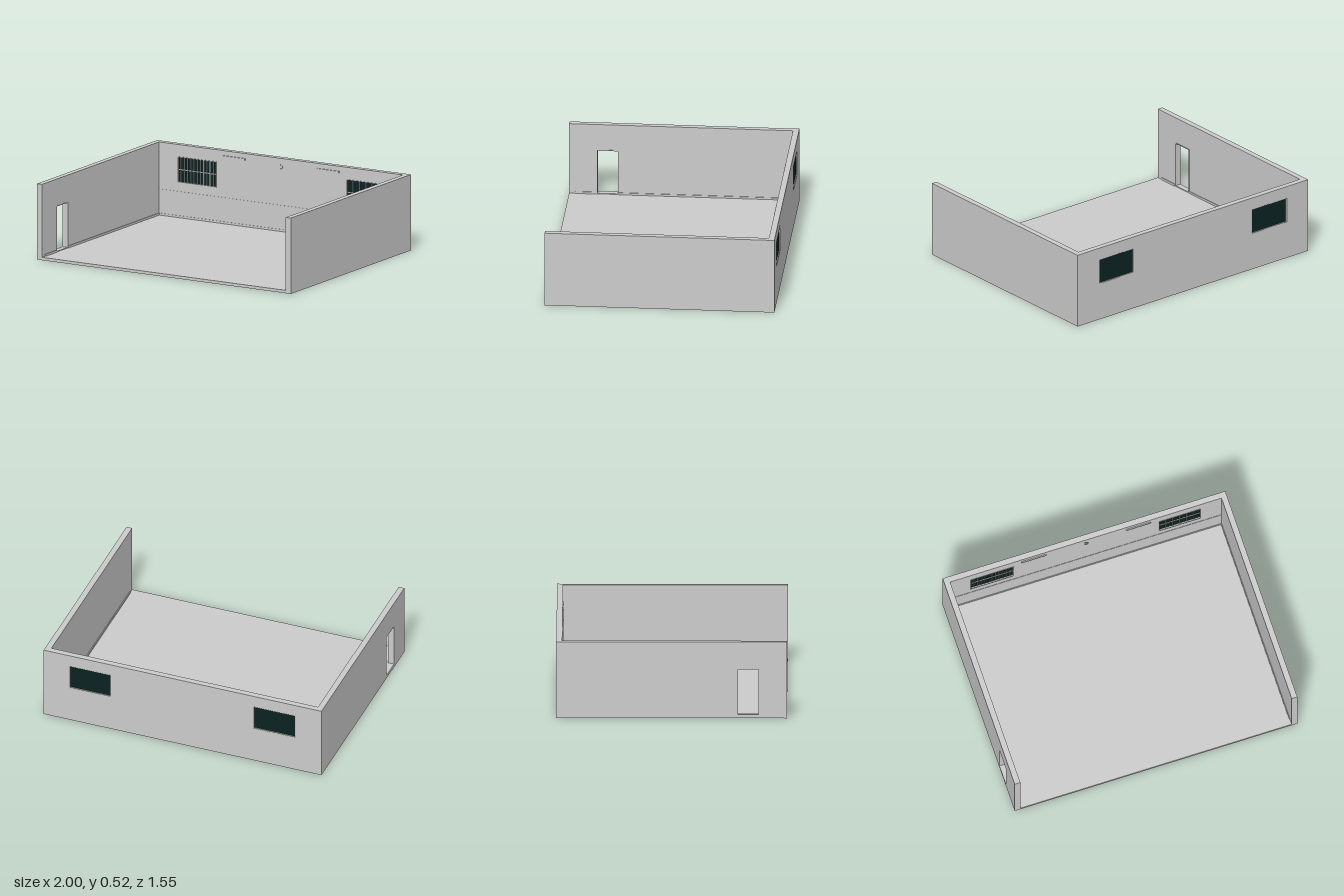
import * as THREE from 'three';

const W = 1, D = 0.775, H = 0.523, T = 0.04, FLOOR = 0.02;
const INNER = -D + T; // inside face of the back wall

export function createModel() {
  const model = new THREE.Group();
  model.name = 'room';
  const mat = (name, color) => {
    const m = new THREE.MeshStandardMaterial({ color });
    m.name = name;
    return m;
  };
  const plaster = mat('plaster grey', 0xcccccc);
  const frame = mat('frame grey', 0xb4b2ac);
  const glass = mat('dark glass', 0x0c2222);

  const add = (name, geo, material, parent = model) => {
    const mesh = new THREE.Mesh(geo, material);
    mesh.name = name;
    parent.add(mesh);
    return mesh;
  };
  // box given by its lower and upper limits on each axis
  const box = (name, x0, x1, y0, y1, z0, z1, material, parent) => {
    const mesh = add(name, new THREE.BoxGeometry(x1 - x0, y1 - y0, z1 - z0), material, parent);
    mesh.position.set((x0 + x1) / 2, (y0 + y1) / 2, (z0 + z1) / 2);
    return mesh;
  };
  // wall drawn in its own plane, with rectangular openings [u0, u1, v0, v1]
  const wallGeometry = (u0, u1, openings) => {
    const rect = (C, a, b, c, d) => new C([[a, c], [b, c], [b, d], [a, d]].map(p => new THREE.Vector2(...p)));
    const shape = rect(THREE.Shape, u0, u1, FLOOR, H);
    for (const o of openings) shape.holes.push(rect(THREE.Path, ...o));
    return new THREE.ExtrudeGeometry(shape, { depth: T, bevelEnabled: false });
  };

  // floor slab and walls
  box('floor', -W, W, 0, FLOOR, -D, D, plaster);
  const windows = [[-0.815, -0.51, 0.262, 0.44], [0.515, 0.815, 0.262, 0.44]];
  add('backWall', wallGeometry(-W, W, windows), plaster).position.z = -D;
  box('leftWall', W - T, W, FLOOR, H, INNER, D, plaster);
  const door = [-0.59, -0.44, FLOOR + 0.005, 0.34];
  const rightWall = add('rightWall', wallGeometry(-D, -INNER, [door]), plaster);
  rightWall.rotation.y = Math.PI / 2; // local x runs towards -z
  rightWall.position.x = -W;

  // door lining, standing slightly proud of the outside face
  const lining = new THREE.Group();
  lining.name = 'doorFrame';
  model.add(lining);
  const f = 0.006, x0 = -W, x1 = -W + T + 0.002;
  box('doorJamb', x0, x1, 0.025, 0.34, 0.44, 0.44 + f, plaster, lining);
  box('doorJamb', x0, x1, 0.025, 0.34, 0.59 - f, 0.59, plaster, lining);
  box('doorHead', x0, x1, 0.34 - f, 0.34, 0.44 + f, 0.59 - f, plaster, lining);

  // windows: dark panes, frame and glazing bars
  windows.forEach(([a, b, c, d], i) => {
    const win = new THREE.Group();
    win.name = i ? 'leftWindow' : 'rightWindow';
    model.add(win);
    box('pane', a, b, c, d, -D + 0.008, INNER - 0.008, glass, win);
    const z0 = INNER - 0.008, z1 = INNER + 0.003, t = 0.005;
    for (const x of [a, b - t]) box('frameSide', x, x + t, c, d, z0, z1, frame, win);
    for (const y of [c, d - t]) box('frameRail', a + t, b - t, y, y + t, z0, z1, frame, win);
    const my = (c + d) / 2;
    box('crossBar', a + t, b - t, my - 0.003, my + 0.003, z0, INNER - 0.001, frame, win);
    const n = i ? 6 : 12;
    for (let k = 1; k < n; k++) {
      const x = a + (b - a) * k / n;
      const w = i || k % 2 === 0 ? 0.0022 : 0.0015;
      box('glazingBar', x - w, x + w, c + t, d - t, z0, INNER - 0.002, frame, win);
    }
    // thin outer rim
    const r0 = -D + 0.001, r1 = -D + 0.008, r = 0.004;
    for (const x of [a, b - r]) box('outerRimSide', x, x + r, c, d, r0, r1, frame, win);
    for (const y of [c, d - r]) box('outerRimRail', a + r, b - r, y, y + r, r0, r1, frame, win);
  });

  // lower wall panel and skirting boards
  const ix = W - T;
  box('lowerPanel', -ix, ix, FLOOR, 0.2, INNER, INNER + 0.002, plaster);
  const s = 0.005, top = FLOOR + 0.014;
  box('backSkirting', -ix, ix, FLOOR, top, INNER, INNER + s, plaster);
  box('leftSkirting', ix - s, ix, FLOOR, top, INNER, 0.735, plaster);
  box('rightSkirting', -ix, -ix + s, FLOOR, top, INNER, 0.44, plaster);
  box('rightSkirting', -ix, -ix + s, FLOOR, top, 0.59, 0.735, plaster);

  // wall lamps on the back wall
  for (const x of [-0.368, 0.372]) {
    box('wallLamp', x - 0.087, x + 0.087, 0.477, 0.489, INNER, INNER + 0.008, plaster);
  }

  // small curved hook between the lamps
  const hook = new THREE.CatmullRomCurve3([
    [-0.012, 0.478, 0], [0.006, 0.477, 0.004], [0.016, 0.465, 0.005], [0.004, 0.452, 0.003], [-0.01, 0.45, 0],
  ].map(p => new THREE.Vector3(...p)));
  add('wallHook', new THREE.TubeGeometry(hook, 16, 0.002, 6), plaster).position.z = INNER + 0.001;

  return model;
}
